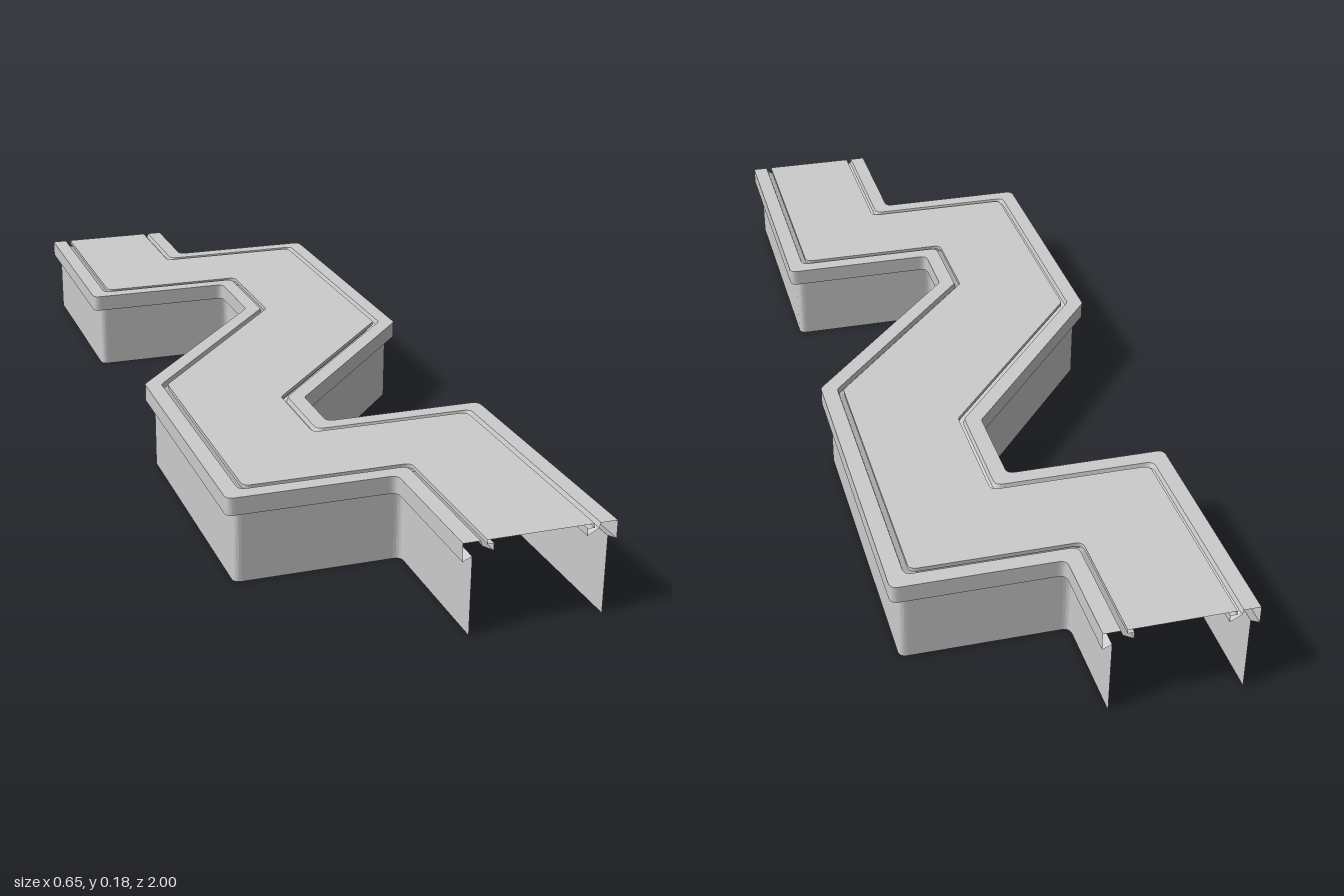
import * as THREE from 'three';

// Outer rim lines as [x, z]; the inside of the channel lies to the travel side (t.z, -t.x)
const LEFT = [[-0.3, -1], [-0.3, -0.5], [0.024, -0.5], [0.024, -0.305],
  [-0.325, 0.105], [-0.325, 0.705], [0.005, 0.705], [0.005, 1]];
const RIGHT = [[-0.007, -1], [-0.007, -0.79], [0.322, -0.79], [0.322, -0.105],
  [-0.03, 0.28], [-0.03, 0.415], [0.299, 0.415], [0.299, 1]].reverse();

// Cross-sections as [distance inward, height]
const WALL = [[0.018, 0], [0.018, 0.153]];
const RIM = [[0.018, 0.153], [0, 0.145], [0, 0.18], [0.033, 0.18], [0.036, 0.17], [0.058, 0.158]];
const PANEL_EDGE = [[0.058, 0.158], [0.058, 0.172], [0.045, 0.172], [0.045, 0.18]];
const PANEL_INSET = 0.045;

// Mitred inward offset of a line with small rounded corners
function offsetLine(line, d, radius = 0.016, steps = 5) {
  const pts = line.map(([x, z]) => new THREE.Vector2(x, z));
  const normals = pts.slice(1).map((p, i) => {
    const t = p.clone().sub(pts[i]).normalize();
    return new THREE.Vector2(t.y, -t.x);
  });
  const moved = pts.map((p, i) => {
    const a = normals[Math.max(i - 1, 0)];
    const b = normals[Math.min(i, normals.length - 1)];
    return p.clone().addScaledVector(a.clone().add(b), d / (1 + a.dot(b)));
  });
  const out = [moved[0]];
  for (let i = 1; i < moved.length - 1; i++) {
    const p = moved[i];
    const cut = radius * Math.tan(normals[i - 1].angleTo(normals[i]) / 2);
    const toward = (q) => p.clone().add(q.clone().sub(p).setLength(cut));
    const corner = new THREE.QuadraticBezierCurve(toward(moved[i - 1]), p, toward(moved[i + 1]));
    out.push(...corner.getPoints(steps));
  }
  out.push(moved[moved.length - 1]);
  return out;
}

// Sheet swept along a line from a cross-section
function sweep(line, profile) {
  const rows = profile.map(([d, y]) => offsetLine(line, d).map((p) => [p.x, y, p.y]));
  const pos = [];
  for (let j = 0; j < rows.length - 1; j++) {
    for (let i = 0; i < rows[j].length - 1; i++) {
      const a = rows[j][i], b = rows[j][i + 1], c = rows[j + 1][i + 1], e = rows[j + 1][i];
      pos.push(...a, ...b, ...c, ...a, ...c, ...e);
    }
  }
  const g = new THREE.BufferGeometry();
  g.setAttribute('position', new THREE.Float32BufferAttribute(pos, 3));
  g.computeVertexNormals();
  return g;
}

export function createModel() {
  const group = new THREE.Group();
  group.name = 'zigzagChannel';
  const grey = new THREE.MeshStandardMaterial({ color: 0xcccccc, side: THREE.DoubleSide });
  grey.name = 'light grey';

  const add = (geometry, name) => {
    const mesh = new THREE.Mesh(geometry, grey);
    mesh.name = name;
    group.add(mesh);
  };

  // Skirt walls, overhanging rims and undercut panel edges on both sides
  for (const [side, line] of [['left', RIGHT], ['right', LEFT]]) {
    add(sweep(line, WALL), side + 'Wall');
    add(sweep(line, RIM), side + 'Rim');
    add(sweep(line, PANEL_EDGE), side + 'PanelEdge');
  }

  // Flat top panel between the grooves
  const outline = [...offsetLine(LEFT, PANEL_INSET), ...offsetLine(RIGHT, PANEL_INSET)];
  const shape = new THREE.Shape(outline.map((p) => new THREE.Vector2(p.x, -p.y)));
  const top = new THREE.ShapeGeometry(shape);
  top.rotateX(-Math.PI / 2).translate(0, 0.18, 0);
  add(top, 'topPanel');

  return group;
}
